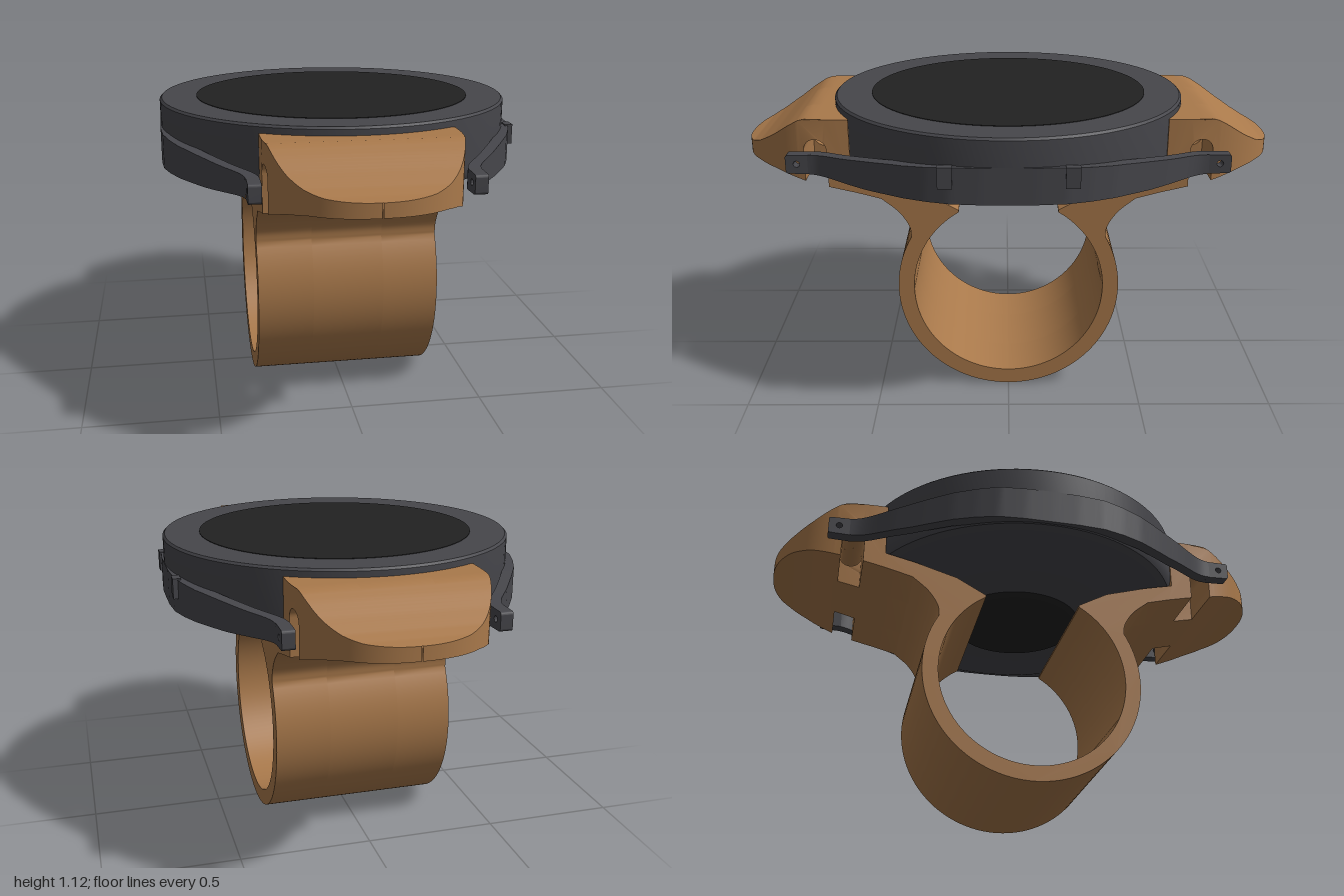
import * as THREE from 'three';
import { toCreasedNormals } from 'three/addons/utils/BufferGeometryUtils.js';

const material = (name, color) => {
  const m = new THREE.MeshStandardMaterial({ color });
  m.name = name;
  return m;
};

// Piecewise-linear lookup in a list of [position, value] keys
function lookup(keys, t) {
  for (let i = 1; i < keys.length; i++) {
    const [a, va] = keys[i - 1], [b, vb] = keys[i];
    if (t <= b) return va + (vb - va) * (t - a) / (b - a);
  }
  return keys[keys.length - 1][1];
}

// Loft of four-cornered sections along z: outer x, inner x, bottom y, top y
function loft(stations) {
  const pos = [], index = [];
  stations.forEach(([z, out, inn, bottom, top], i) => {
    pos.push(out, bottom, z, out, top, z, inn, top, z, inn, bottom, z);
    if (!i) return;
    for (let k = 0; k < 4; k++) {
      const a = (i - 1) * 4 + k, b = (i - 1) * 4 + (k + 1) % 4;
      index.push(a, b, a + 4, b, b + 4, a + 4);
    }
  });
  const g = new THREE.BufferGeometry();
  g.setAttribute('position', new THREE.Float32BufferAttribute(pos, 3));
  g.setIndex(index);
  return toCreasedNormals(g, 0.6);
}

// Extrude a (z, y) shape along x from x0 to x1
function extrudeX(shape, x0, x1) {
  const g = new THREE.ExtrudeGeometry(shape, { depth: x1 - x0, bevelEnabled: false, curveSegments: 24 });
  return g.rotateY(-Math.PI / 2).translate(x1, 0, 0);
}

function arc(cy, r, from, to, n, cz = 0) {
  return Array.from({ length: n + 1 }, (_, i) => {
    const a = THREE.MathUtils.degToRad(from + (to - from) * i / n);
    return new THREE.Vector2(cz + r * Math.cos(a), cy + r * Math.sin(a));
  });
}

// Holder outline rules
const HALF = 0.338, SPLIT = 0.77, HOLE = { z: 0.7025, y: 0.967, r: 0.0425 };
const topKeys = [[0.577, 1.085], [0.735, 1.085], [0.76, 1.078], [0.8, 1.055], [0.86, 1.014], [0.92, 0.978], [0.96, 0.96], [1, 0.95]];
const bottomKeys = [[0.47, 0.783], [0.56, 0.807], [0.66, 0.83], [0.745, 0.85], [0.86, 0.885], [0.93, 0.898], [1, 0.9]];
const halfWidth = z => z <= 0.62 ? HALF
  : HALF * Math.pow(Math.max(0, 1 - Math.pow((z - 0.62) / 0.38, 2.3)), 1 / 2.3);

// Half of the ring with its neck and lug root; slotted sections open the pin hole downwards
function holderShape(slotted) {
  const v = (z, y) => new THREE.Vector2(z, y);
  const neck = new THREE.CatmullRomCurve3([[0.364, 0.63], [0.368, 0.668], [0.405, 0.728], [0.47, 0.783]]
    .map(([z, y]) => new THREE.Vector3(z, y, 0))).getPoints(14).slice(1).map(p => v(p.x, p.y));
  const onBottom = z => v(z, lookup(bottomKeys, z));
  const onTop = z => v(z, lookup(topKeys, z));
  const left = HOLE.z - HOLE.r, right = HOLE.z + HOLE.r;
  const slot = slotted ? arc(HOLE.y, HOLE.r, 180, 0, 14, HOLE.z) : [];
  const shape = new THREE.Shape([
    ...arc(0.42, 0.42, -90, 30, 40), ...neck,
    ...[0.56, 0.62, left].map(onBottom), ...slot, ...[right, SPLIT].map(onBottom),
    ...[SPLIT, 0.76, 0.735, 0.7, 0.66, 0.62, 0.577].map(onTop),
    v(0.577, 0.874), v(0.46, 0.847), v(0.3, 0.8), v(0.185, 0.737),
    ...arc(0.42, 0.36, 59, -90, 50),
  ]);
  if (!slotted) shape.holes.push(new THREE.Path(arc(HOLE.y, HOLE.r, 0, 345, 23, HOLE.z)));
  return shape;
}

// One slab of the holder, narrowed in x by the plan outline
function holderSlab(slotted, s0, s1) {
  const g = extrudeX(holderShape(slotted), s0, s1);
  const p = g.attributes.position;
  for (let i = 0; i < p.count; i++) p.setX(i, p.getX(i) * halfWidth(p.getZ(i)));
  return toCreasedNormals(g, 0.6);
}

// Lug nose with rounded plan
function noseGeometry() {
  const stations = [], start = Math.asin((SPLIT - 0.62) / 0.38);
  for (let i = 0; i <= 30; i++) {
    const z = 0.62 + 0.38 * Math.sin(start + (Math.PI / 2 - start) * i / 30);
    const w = Math.max(0.002, halfWidth(z));
    stations.push([z, w, -w, lookup(bottomKeys, z), lookup(topKeys, z)]);
  }
  return loft(stations);
}

// Side arm that hugs the case and reaches towards the lugs
const armX = [[0, 0.667], [0.1, 0.666], [0.2, 0.658], [0.28, 0.635], [0.36, 0.602], [0.45, 0.55], [0.56, 0.482], [0.65, 0.42], [0.69, 0.4], [0.72, 0.396]];
const armTop = [[0, 1.015], [0.2, 1.012], [0.4, 0.998], [0.6, 0.978], [0.72, 0.97]];
const armBottom = [[0, 0.882], [0.5, 0.885], [0.72, 0.9]];
function armGeometry() {
  const stations = [];
  for (let i = -36; i <= 36; i++) {
    const z = i * 0.02, a = Math.abs(z), x = lookup(armX, a);
    stations.push([z, x, x - 0.046, lookup(armBottom, a), lookup(armTop, a)]);
  }
  return loft(stations);
}

// Drilled arm tip
function tipGeometry() {
  const s = new THREE.Shape();
  s.moveTo(0.71, 0.899);
  s.lineTo(0.79, 0.902);
  s.quadraticCurveTo(0.8, 0.902, 0.8, 0.912);
  s.lineTo(0.8, 0.96);
  s.quadraticCurveTo(0.8, 0.97, 0.79, 0.97);
  s.lineTo(0.71, 0.971);
  s.holes.push(new THREE.Path(arc(0.937, 0.012, 0, 330, 11, 0.76)));
  return toCreasedNormals(extrudeX(s, 0.35, 0.395), 0.6);
}

const lathe = points => toCreasedNormals(
  new THREE.LatheGeometry(points.map(([r, y]) => new THREE.Vector2(r, y)), 96), 0.5);

export function createModel() {
  const brown = material('warm brown', 0xa9794b);
  const grey = material('graphite', 0x46464b);
  const dark = material('screen black', 0x222222);
  const model = new THREE.Group();
  const add = (parent, name, geometry, mat) => {
    const mesh = new THREE.Mesh(geometry, mat);
    mesh.name = name;
    parent.add(mesh);
    return mesh;
  };

  // Round case, screen and back sensor
  add(model, 'case', lathe([[0, 0.81], [0.28, 0.812], [0.62, 0.865], [0.65, 0.878], [0.662, 0.9],
    [0.665, 0.93], [0.665, 1.107], [0.657, 1.115], [0, 1.115]]), grey);
  add(model, 'screen', new THREE.CylinderGeometry(0.525, 0.525, 0.006, 96).translate(0, 1.114, 0), dark);
  add(model, 'backSensor', lathe([[0, 0.788], [0.2, 0.789], [0.25, 0.797], [0.27, 0.815]]), dark);

  // Two mirrored halves of the holder
  const slabs = [[true, -1, -0.39], [false, -0.39, 0.39], [true, 0.39, 1]].map(a => holderSlab(...a));
  const nose = noseGeometry(), arm = armGeometry(), tip = tipGeometry();
  for (const end of [0, 1]) {
    const half = new THREE.Group();
    half.name = end ? 'backHolderHalf' : 'frontHolderHalf';
    half.rotation.y = end * Math.PI;
    slabs.forEach(g => add(half, 'ringAndLugSection', g, brown));
    add(half, 'lugNose', nose, brown);
    model.add(half);
  }

  // Side arms with tips at both ends
  for (const side of [0, 1]) {
    const group = new THREE.Group();
    group.name = side ? 'rightArm' : 'leftArm';
    group.rotation.y = side * Math.PI;
    add(group, 'armBand', arm, grey);
    add(group, 'armTip', tip, grey);
    const mirrored = tip.clone().rotateY(Math.PI).translate(0.745, 0, 0);
    add(group, 'armTip', mirrored, grey);
    model.add(group);
  }

  // Push buttons on the left side
  for (const z of [-0.215, 0.215]) {
    add(model, 'button', new THREE.BoxGeometry(0.03, 0.075, 0.05).translate(0.65, 0.977, z), grey);
  }
  return model;
}
